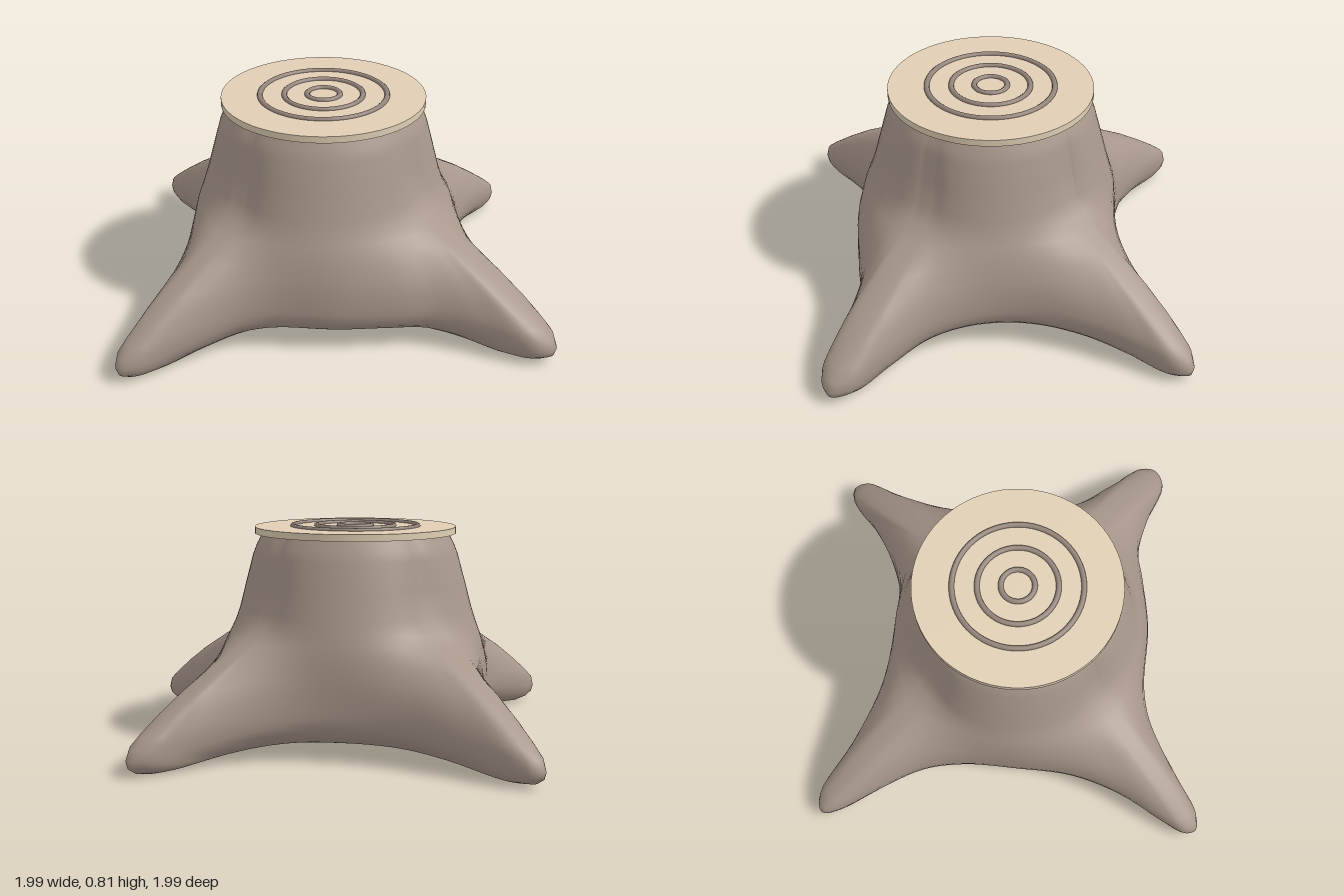
import * as THREE from 'three';

// Ground outline of the roots as [x, z], running back, left, front, right
const OUTLINE = [
  [0.17, -1], [0.115, -0.96], [0.06, -0.8], [-0.02, -0.64], [-0.13, -0.505], [-0.29, -0.4],
  [-0.5, -0.31], [-0.72, -0.28], [-0.96, -0.27], [-1, -0.225], [-0.96, -0.18], [-0.8, -0.095],
  [-0.64, 0], [-0.53, 0.12], [-0.42, 0.3], [-0.315, 0.485], [-0.26, 0.67], [-0.24, 0.885],
  [-0.225, 0.965], [-0.19, 0.99], [-0.145, 0.96], [-0.075, 0.805], [0.015, 0.62], [0.11, 0.52],
  [0.325, 0.39], [0.485, 0.255], [0.595, 0.16], [0.755, 0.1], [0.95, 0.055], [0.995, -0.01],
  [0.95, -0.065], [0.81, -0.1], [0.62, -0.15], [0.46, -0.26], [0.335, -0.425], [0.255, -0.64],
  [0.225, -0.825], [0.21, -0.96],
];

// Cross-sections from rim to underside:
// height on a root, height between roots, reach of a root, reach between roots, fullness of a root
const SECTIONS = [
  [0.79, 0.79, 0.33, 0.345, 1],
  [0.74, 0.74, 0.36, 0.372, 1],
  [0.7, 0.7, 0.372, 0.388, 1.2],
  [0.6, 0.6, 0.39, 0.416, 1.5],
  [0.5, 0.5, 0.414, 0.443, 2],
  [0.44, 0.45, 0.452, 0.457, 2],
  [0.4, 0.415, 0.515, 0.465, 2],
  [0.365, 0.385, 0.58, 0.471, 1.9],
  [0.33, 0.35, 0.645, 0.475, 1.8],
  [0.26, 0.3, 0.765, 0.479, 1.6],
  [0.19, 0.25, 0.87, 0.48, 1.4],
  [0.13, 0.2, 0.955, 0.48, 1.2],
  [0.095, 0.165, 1, 0.48, 1.1],
  [0.055, 0.135, 1.02, 0.478, 1],
  [0.03, 0.11, 1.015, 0.468, 0.95],
  [0.01, 0.085, 0.99, 0.45, 0.85],
  [0, 0.065, 0.945, 0.425, 0.75],
  [0.02, 0.05, 0.78, 0.37, 0.7],
  [0.045, 0.045, 0.5, 0.28, 0.8],
];

const AXIS_X = -0.015;
const VALLEY = 0.48;
const TIP = 1.02;

// Loft the trunk and roots through the cross-sections
function trunkGeometry() {
  const curve = new THREE.CatmullRomCurve3(
    OUTLINE.map(([x, z]) => new THREE.Vector3(x - AXIS_X, 0, z)), true, 'centripetal');
  const n = OUTLINE.length * 5;
  const positions = [], index = [];
  for (const [yRoot, yValley, reach, core, fullness] of SECTIONS) {
    for (let j = 0; j < n; j++) {
      const p = curve.getPoint(j / n);
      const len = p.length();
      const along = THREE.MathUtils.clamp((len - VALLEY) / (TIP - VALLEY), 0, 1);
      const lobe = 1 - Math.pow(1 - along, fullness);
      const r = core + (reach - core) * lobe;
      positions.push(p.x / len * r, yValley + (yRoot - yValley) * lobe, p.z / len * r);
    }
  }
  const center = positions.length / 3;
  positions.push(0, 0.045, 0);
  for (let i = 0; i < SECTIONS.length; i++) {
    for (let j = 0; j < n; j++) {
      const k = (j + 1) % n;
      const a = i * n + j, d = i * n + k;
      if (i === SECTIONS.length - 1) index.push(a, center, d);
      else index.push(a, a + n, d + n, a, d + n, d);
    }
  }
  const geometry = new THREE.BufferGeometry();
  geometry.setAttribute('position', new THREE.Float32BufferAttribute(positions, 3));
  geometry.setIndex(index);
  geometry.computeVertexNormals();
  return geometry;
}

export function createModel() {
  const bark = new THREE.MeshStandardMaterial({ color: 0xa8978b });
  const cutWood = new THREE.MeshStandardMaterial({ color: 0xe0cfb4 });
  const ringWood = new THREE.MeshStandardMaterial({ color: 0x93847a });
  bark.name = 'bark';
  cutWood.name = 'cut wood';
  ringWood.name = 'growth ring brown';

  const group = new THREE.Group();
  group.name = 'treeStump';
  const add = (name, geometry, material, y) => {
    const mesh = new THREE.Mesh(geometry, material);
    mesh.name = name;
    mesh.position.set(AXIS_X, y, 0);
    group.add(mesh);
    return mesh;
  };

  add('trunkAndRoots', trunkGeometry(), bark, 0);

  // Flat cut top
  add('cutTop', new THREE.CylinderGeometry(0.38, 0.38, 0.025, 64), cutWood, 0.79);

  // Growth rings
  [0.236, 0.146, 0.061].forEach((radius, i) => {
    const ring = add('growthRing' + (i + 1), new THREE.TorusGeometry(radius, 0.01, 10, 64), ringWood, 0.803);
    ring.rotation.x = -Math.PI / 2;
  });

  return group;
}
